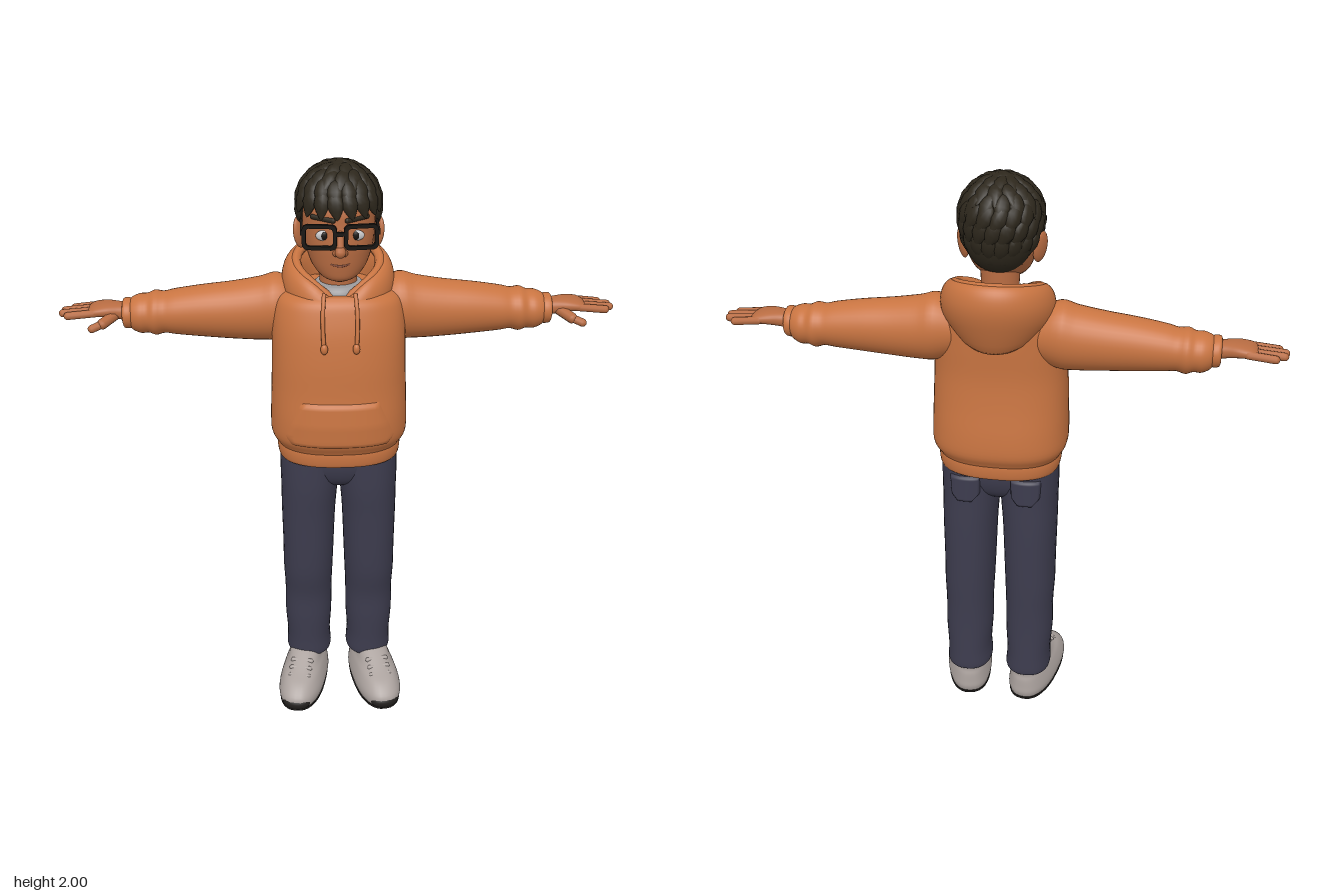
import * as THREE from 'three';
import { mergeGeometries, mergeVertices } from 'three/addons/utils/BufferGeometryUtils.js';

const paint = (name, color, extra = {}) => Object.assign(new THREE.MeshStandardMaterial({ color, ...extra }), { name });
const V = (x, y, z) => new THREE.Vector3(x, y, z);
const lerp = THREE.MathUtils.lerp;

// Closed skin over rows of points; columns wrap, rows wrap or get end caps
function skin(rows, wrapRows = false) {
  const n = rows[0].length, m = rows.length, pos = rows.flat().flatMap(p => [p.x, p.y, p.z]), idx = [];
  for (let r = 0; r < (wrapRows ? m : m - 1); r++) for (let i = 0; i < n; i++) {
    const k = (i + 1) % n, s = (r + 1) % m;
    const a = r * n + i, b = r * n + k, c = s * n + i, d = s * n + k;
    idx.push(a, c, b, b, c, d);
  }
  if (!wrapRows) [0, m - 1].forEach(r => {
    const c = rows[r].reduce((s, p) => s.add(p), V(0, 0, 0)).divideScalar(n), ci = pos.length / 3;
    pos.push(c.x, c.y, c.z);
    for (let i = 0; i < n; i++) {
      const a = r * n + i, b = r * n + (i + 1) % n;
      r ? idx.push(ci, b, a) : idx.push(ci, a, b);
    }
  });
  const g = new THREE.BufferGeometry();
  g.setAttribute('position', new THREE.Float32BufferAttribute(pos, 3));
  g.setIndex(idx);
  g.computeVertexNormals();
  return g;
}

// Smooth loft upwards through rings [y, centreX, centreZ, radiusX, radiusZ]
function loft(rings, power = 2, seg = 36, sub = 4) {
  const rows = [], at = i => rings[Math.min(Math.max(i, 0), rings.length - 1)];
  const spow = v => Math.sign(v) * Math.abs(v) ** (2 / power);
  for (let s = 0; s <= (rings.length - 1) * sub; s++) {
    const i = Math.floor(s / sub), t = s / sub - i;
    const [y, cx, cz, rx, rz] = at(i).map((b, k) => {
      const a = at(i - 1)[k], c = at(i + 1)[k], d = at(i + 2)[k];
      return b + 0.5 * t * (c - a + t * (2 * a - 5 * b + 4 * c - d + t * (3 * (b - c) + d - a)));
    });
    rows.push(Array.from({ length: seg }, (_, j) => {
      const q = j / seg * Math.PI * 2;
      return V(cx + rx * spow(Math.cos(q)), y, cz + rz * spow(Math.sin(q)));
    }));
  }
  return skin(rows);
}
// The same loft laid along +x, rings [x, y, z, radiusY, radiusZ]
const loftX = (rings, power) => loft(rings.map(([x, y, ...r]) => [x, -y, ...r]), power).rotateZ(-Math.PI / 2);

// Cloth patch lying on a loft's front (side 1) or back (side -1)
function patch(rings, power, side, x0, y0, y1, width) {
  const g = new THREE.PlaneGeometry(2, 1, 24, 14), p = g.attributes.position;
  for (let i = 0; i < p.count; i++) {
    const u = p.getX(i), v = p.getY(i) + 0.5, y = lerp(y0, y1, v), x = x0 + side * u * width(v);
    let k = 0;
    while (k < rings.length - 2 && rings[k + 1][0] < y) k++;
    const t = (y - rings[k][0]) / (rings[k + 1][0] - rings[k][0]);
    const [, cx, cz, rx, rz] = rings[k].map((a, j) => lerp(a, rings[k + 1][j], t));
    const edge = Math.abs(u) > 0.99 || v < 0.01 || v > 0.99;
    const bulge = Math.max(0, 1 - Math.abs((x - cx) / rx) ** power) ** (1 / power);
    p.setXYZ(i, x, y, cz + side * (rz * bulge + (edge ? -0.004 : 0.009)));
  }
  g.computeVertexNormals();
  return g;
}

function capsule(a, b, r) {
  const d = b.clone().sub(a), g = new THREE.CapsuleGeometry(r, d.length(), 5, 10);
  g.applyQuaternion(new THREE.Quaternion().setFromUnitVectors(V(0, 1, 0), d.normalize()));
  return g.translate((a.x + b.x) / 2, (a.y + b.y) / 2, (a.z + b.z) / 2);
}
const ball = (x, y, z, rx, ry, rz) => new THREE.SphereGeometry(1, 24, 16).scale(rx, ry, rz).translate(x, y, z);
const tube = (pts, r, closed = false) =>
  new THREE.TubeGeometry(new THREE.CatmullRomCurve3(pts, closed), closed ? 64 : 20, r, 8, closed);
function mirror(geo) {
  const g = geo.index ? geo.clone() : mergeVertices(geo), ix = g.index.array;
  g.scale(-1, 1, 1);
  for (let i = 0; i < ix.length; i += 3) [ix[i], ix[i + 1]] = [ix[i + 1], ix[i]];
  return g;
}

// Point of the hood: angle a around the neck (front at +z), radial scale s, drop below the rim
function hoodPoint(a, s, drop, hang = 0) {
  const f = Math.sin(a), back = (1 - f) / 2;
  const rim = lerp(1.59, 1.7, back ** 0.6) - 0.03 * Math.max(0, f) ** 12;
  return V(0.187 * s * Math.cos(a), rim - drop - hang * back ** 2, -0.065 + 0.18 * s * f);
}

// Overlapping pointed locks laid in rows around the skull, flowing down from the crown
function hairLocks() {
  const locks = [], rows = [[0.12, 4], [0.42, 9], [0.76, 13], [1.08, 16], [1.38, 18], [1.7, 18], [2.0, 18], [2.3, 16]];
  rows.forEach(([phi, count], r) => {
    for (let i = 0; i < count; i++) {
      const wob = Math.sin(i * 12.9 + r * 7.3), q = (i + r * 0.5 + wob * 0.2) / count * Math.PI * 2;
      const spot = f => V(0.127 * Math.sin(f) * Math.cos(q),
        1.863 + Math.cos(f) * (Math.cos(f) < 0 ? 0.18 : 0.12), -0.006 + 0.139 * Math.sin(f) * Math.sin(q));
      const p = spot(phi);
      if (phi > 1.5 && p.z > 0.1 - (phi - 1.4) * 0.2) continue;
      const out = V(p.x, (p.y - 1.863) * 0.8, p.z + 0.006).normalize();
      const down = spot(phi + 0.05).sub(p).normalize();
      const side = V(0, 0, 0).crossVectors(down, out).normalize();
      down.addScaledVector(side, 0.35 * wob + 0.2).addScaledVector(out, 0.1).normalize();
      side.crossVectors(down, out).normalize();
      out.crossVectors(side, down);
      const g = new THREE.SphereGeometry(1, 10, 8), v = g.attributes.position;
      for (let k = 0; k < v.count; k++) {
        const y = v.getY(k), w = y > 0 ? 1 - 0.55 * y : 1;
        v.setXYZ(k, v.getX(k) * 0.027 * w, y * 0.046, v.getZ(k) * 0.016 * w);
      }
      g.computeVertexNormals();
      locks.push(g.applyMatrix4(new THREE.Matrix4().makeBasis(side, down, out).setPosition(p)));
    }
  });
  return mergeGeometries(locks);
}

export function createModel() {
  const model = new THREE.Group();
  model.name = 'youngManInHoodie';
  const hoodie = paint('orange hoodie', 0xc87441), denim = paint('dark denim', 0x3d3c4e);
  const skinTone = paint('skin', 0xb86c42), shoe = paint('grey shoe', 0xaba29e), rubber = paint('dark rubber', 0x211e1c);
  const hair = paint('dark hair', 0x2d271c), frame = paint('black frame', 0x181512), shirt = paint('grey shirt', 0x9c9b9d);
  const eyeWhite = paint('eye white', 0xc6c6c8), lip = paint('lip', 0x8a4a34);
  const add = (name, geo, mat) => {
    const m = new THREE.Mesh(geo, mat);
    m.name = name;
    model.add(m);
  };
  const pair = (name, geo, mat) => {
    add(name + 'Left', geo, mat);
    add(name + 'Right', mirror(geo), mat);
  };

  // Hoodie body, hem and front pocket
  const torso = [[1.03, 0, -0.011, 0.205, 0.158], [1.045, 0, -0.011, 0.216, 0.166], [1.08, 0, -0.01, 0.232, 0.182],
    [1.15, 0, -0.007, 0.232, 0.182], [1.25, 0, -0.005, 0.228, 0.17], [1.35, 0, -0.004, 0.224, 0.162],
    [1.45, 0, -0.012, 0.222, 0.156], [1.52, 0, -0.022, 0.214, 0.147], [1.555, 0, -0.028, 0.197, 0.138],
    [1.575, 0, -0.032, 0.16, 0.12]];
  add('hoodieBody', loft(torso, 2.5, 56), hoodie);
  add('hoodieHem', loft([[0.982, 0, -0.011, 0.196, 0.148], [0.988, 0, -0.011, 0.207, 0.158],
    [1.015, 0, -0.011, 0.212, 0.162], [1.04, 0, -0.011, 0.21, 0.16], [1.05, 0, -0.011, 0.2, 0.15]], 2.5, 56), hoodie);
  add('frontPocket', patch(torso, 2.5, 1, 0, 1.065, 1.235,
    v => v < 0.2 ? 0.16 + 0.15 * v : 0.19 - 0.075 * (v - 0.2)), hoodie);

  // Hood lying open on the shoulders, with a thick rim
  const hoodProfile = [[0.68, 0.14, 0.1], [0.93, 0.12, 0.02], [1, 0.07], [0.93, 0.02], [0.8, 0], [0.68, 0.03], [0.62, 0.1]];
  const around = Array.from({ length: 64 }, (_, j) => j / 64 * Math.PI * 2);
  const columns = around.map(a => {
    const c = new THREE.CatmullRomCurve3(hoodProfile.map(p => hoodPoint(a, ...p)), true);
    return Array.from({ length: 28 }, (_, i) => c.getPoint(i / 28));
  });
  add('hood', skin(columns[0].map((_, i) => columns.map(c => c[i])), true), hoodie);
  add('hoodRim', tube(around.filter((_, i) => i % 4 === 0).map(a => hoodPoint(a, 0.74, 0.012)), 0.017, true), hoodie);
  pair('drawstring', tube([V(0.05, 1.595, 0.106), V(0.055, 1.54, 0.133), V(0.055, 1.47, 0.15), V(0.052, 1.42, 0.158)], 0.007), hoodie);
  pair('drawstringKnot', ball(0.052, 1.425, 0.158, 0.012, 0.018, 0.012), hoodie);

  // Sleeves with gathered folds before the cuff
  pair('sleeve', loftX([[0.12, 1.495, -0.065, 0.08, 0.075], [0.2, 1.495, -0.065, 0.113, 0.098], [0.26, 1.487, -0.065, 0.108, 0.094],
    [0.35, 1.482, -0.065, 0.098, 0.088], [0.45, 1.48, -0.067, 0.088, 0.083], [0.54, 1.477, -0.07, 0.077, 0.077],
    [0.58, 1.475, -0.072, 0.07, 0.073], [0.61, 1.473, -0.073, 0.075, 0.078], [0.635, 1.472, -0.073, 0.066, 0.07],
    [0.66, 1.471, -0.072, 0.066, 0.07], [0.685, 1.472, -0.07, 0.056, 0.06], [0.695, 1.473, -0.068, 0.045, 0.048]]), hoodie);
  pair('cuff', loftX([[0.683, 1.474, -0.067, 0.042, 0.046], [0.69, 1.474, -0.067, 0.05, 0.056],
    [0.712, 1.475, -0.066, 0.05, 0.055], [0.718, 1.475, -0.066, 0.04, 0.045]]), hoodie);

  // Hands
  pair('palm', loftX([[0.69, 1.477, -0.065, 0.03, 0.035], [0.73, 1.485, -0.066, 0.027, 0.04], [0.77, 1.49, -0.068, 0.024, 0.05],
    [0.81, 1.489, -0.07, 0.019, 0.053], [0.83, 1.487, -0.07, 0.01, 0.045]], 2.3), skinTone);
  pair('fingers', mergeGeometries([[-0.112, 0.885], [-0.085, 0.913], [-0.057, 0.917], [-0.03, 0.897]]
    .map(([z, tip]) => capsule(V(0.8, 1.488, z), V(tip, 1.479, z), 0.0135))), skinTone);
  pair('thumb', mergeGeometries([capsule(V(0.74, 1.478, -0.045), V(0.78, 1.462, 0.003), 0.018),
    capsule(V(0.78, 1.462, 0.003), V(0.812, 1.452, 0.02), 0.014)]), skinTone);

  // Trousers with back pockets
  const leg = [[0.122, 0.112, -0.045, 0.074, 0.092], [0.135, 0.112, -0.045, 0.083, 0.1], [0.2, 0.113, -0.043, 0.08, 0.1],
    [0.3, 0.113, -0.038, 0.086, 0.102], [0.4, 0.112, -0.036, 0.086, 0.104], [0.5, 0.112, -0.028, 0.09, 0.115],
    [0.6, 0.11, -0.024, 0.092, 0.12], [0.75, 0.108, -0.02, 0.096, 0.124], [0.85, 0.104, -0.015, 0.1, 0.127],
    [0.92, 0.102, -0.014, 0.103, 0.128], [1.01, 0.1, -0.014, 0.104, 0.128]];
  pair('trouserLeg', loft(leg, 2.3), denim);
  add('trouserSeat', loft([[0.87, 0, -0.014, 0.05, 0.075], [0.9, 0, -0.014, 0.14, 0.105],
    [0.95, 0, -0.014, 0.195, 0.122], [1.01, 0, -0.014, 0.2, 0.126]], 2.6), denim);
  pair('backPocket', patch(leg, 2.3, -1, 0.105, 0.87, 0.975, v => v < 0.3 ? 0.02 + 0.1 * v : 0.05 + 0.005 * v), denim);

  // Shoes turned slightly outwards
  const place = g => g.rotateY(0.19).translate(0.125, 0, 0);
  pair('shoe', place(loft([[0.013, 0, 0.045, 0.08, 0.184], [0.035, 0, 0.045, 0.085, 0.19], [0.06, 0, 0.042, 0.082, 0.185],
    [0.09, 0, 0.025, 0.072, 0.165], [0.112, 0, 0, 0.062, 0.135], [0.14, 0, -0.03, 0.056, 0.107],
    [0.155, 0, -0.04, 0.046, 0.085]], 2.4)), shoe);
  pair('outsole', place(loft([[0, 0, 0.045, 0.076, 0.178], [0.006, 0, 0.045, 0.082, 0.186], [0.016, 0, 0.045, 0.082, 0.187]], 2.4)), rubber);
  pair('toeGuard', place(ball(0, 0.03, 0.205, 0.052, 0.028, 0.034)), rubber);
  pair('laces', place(mergeGeometries([[0.15, 0.104], [0.122, 0.118], [0.094, 0.132]]
    .map(([z, y]) => capsule(V(-0.034, y - 0.006, z - 0.01), V(0.034, y - 0.006, z - 0.01), 0.009)))), shoe);

  // Neck, shirt collar and head
  add('neck', loft([[1.5, 0, -0.03, 0.068, 0.068], [1.6, 0, -0.03, 0.062, 0.062], [1.74, 0, -0.025, 0.065, 0.065]]), skinTone);
  add('shirtCollar', loft([[1.53, 0, -0.015, 0.1, 0.1], [1.58, 0, -0.018, 0.088, 0.09], [1.597, 0, -0.02, 0.074, 0.076]]), shirt);
  add('head', loft([[1.636, 0, 0.085, 0.022, 0.025], [1.65, 0, 0.068, 0.058, 0.064], [1.68, 0, 0.04, 0.087, 0.1],
    [1.72, 0, 0.02, 0.104, 0.125], [1.76, 0, 0.01, 0.113, 0.137], [1.82, 0, 0, 0.117, 0.14],
    [1.87, 0, -0.004, 0.116, 0.138], [1.92, 0, -0.005, 0.095, 0.11], [1.95, 0, -0.005, 0.05, 0.06]], 2.1), skinTone);
  add('nose', mergeGeometries([capsule(V(0, 1.8, 0.137), V(0, 1.752, 0.156), 0.012), capsule(V(0, 1.75, 0.156), V(0, 1.746, 0.158), 0.017),
    capsule(V(-0.012, 1.742, 0.148), V(0.012, 1.742, 0.148), 0.012)]), skinTone);
  add('mouth', tube([V(-0.03, 1.703, 0.136), V(0, 1.698, 0.143), V(0.03, 1.703, 0.136)], 0.0035), lip);
  pair('ear', ball(0, 0, 0, 0.014, 0.052, 0.03).rotateY(0.6).rotateZ(-0.12).translate(0.125, 1.765, -0.008), skinTone);
  pair('eye', ball(0.05, 1.793, 0.127, 0.026, 0.017, 0.009), eyeWhite);
  pair('iris', ball(0.049, 1.793, 0.133, 0.011, 0.013, 0.005), frame);
  pair('eyebrow', capsule(V(0.022, 1.842, 0.138), V(0.085, 1.846, 0.102), 0.008), hair);

  // Glasses
  const roundRect = (C, w, h, r) => {
    const s = new C();
    [[w - r, h - r, 0], [r - w, h - r, 1], [r - w, r - h, 2], [w - r, r - h, 3]]
      .forEach(([x, y, k]) => s.absarc(x, y, r, k * Math.PI / 2, (k + 1) * Math.PI / 2, false));
    s.closePath();
    return s;
  };
  const rim = roundRect(THREE.Shape, 0.054, 0.04, 0.018);
  rim.holes.push(roundRect(THREE.Path, 0.042, 0.028, 0.01));
  pair('glassesRim', new THREE.ExtrudeGeometry(rim, { depth: 0.012, bevelEnabled: false, curveSegments: 6 })
    .rotateY(0.12).translate(0.064, 1.795, 0.145), frame);
  add('glassesBridge', new THREE.BoxGeometry(0.03, 0.012, 0.012).translate(0, 1.806, 0.158), frame);
  pair('glassesTemple', new THREE.BoxGeometry(0.008, 0.014, 0.155).translate(0.12, 1.808, 0.07), frame);

  // Hair
  add('hairBase', mergeGeometries([ball(0, 1.865, -0.008, 0.122, 0.117, 0.132), ball(0, 1.81, -0.055, 0.113, 0.12, 0.087)]), hair);
  add('hairLocks', hairLocks(), hair);
  return model;
}
